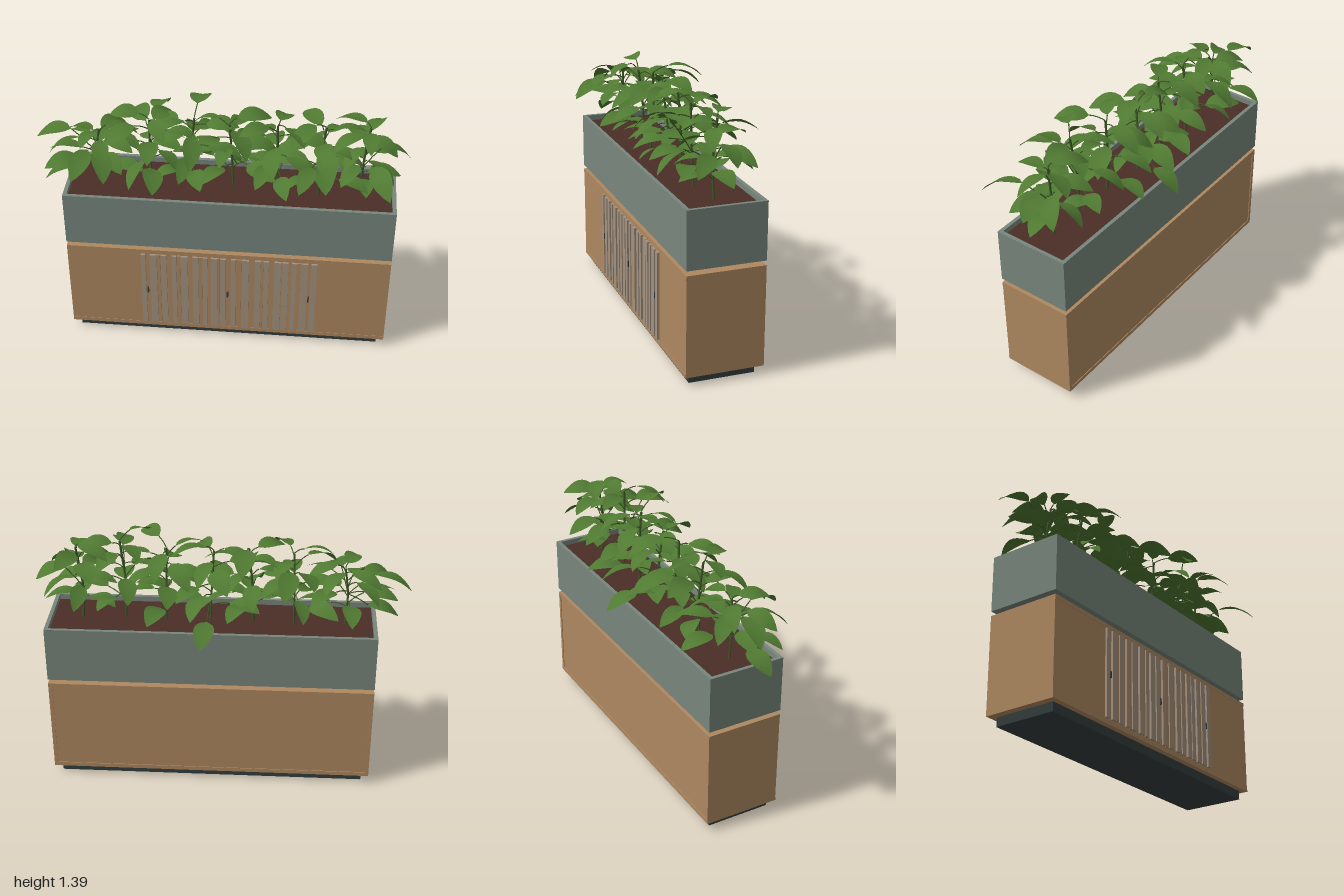
import * as THREE from 'three';
import { mergeGeometries } from 'three/addons/utils/BufferGeometryUtils.js';

const mat = (name, color, side = THREE.FrontSide) => {
  const m = new THREE.MeshStandardMaterial({ color, side });
  m.name = name;
  return m;
};

// Small seeded generator for the foliage
function seeded(seed) {
  return () => {
    seed = (seed * 16807) % 2147483647;
    return seed / 2147483647;
  };
}

// Unit leaf along +z: pointed oval, arched along its length and folded at the midrib
function leafGeometry() {
  const rows = 8, pos = [], index = [];
  for (let i = 0; i <= rows; i++) {
    const t = i / rows;
    const w = 0.5 * Math.pow(Math.sin(Math.PI * Math.pow(t, 0.8)), 0.8) || 0;
    const y = 0.13 * Math.sin(Math.PI * t);
    pos.push(-w, y + w * 0.07, t, 0, y, t, w, y + w * 0.07, t);
  }
  for (let i = 0; i < rows; i++) {
    for (let j = 0; j < 2; j++) {
      const a = i * 3 + j, b = a + 1, c = a + 3, d = a + 4;
      index.push(a, c, b, b, c, d);
    }
  }
  const g = new THREE.BufferGeometry();
  g.setAttribute('position', new THREE.Float32BufferAttribute(pos, 3));
  g.setIndex(index);
  g.computeVertexNormals();
  return g;
}

// Place the unit leaf between two points, rolled about its midrib
function placeLeaf(unit, base, tip, width, roll) {
  const dir = tip.clone().sub(base);
  const length = dir.length();
  dir.normalize();
  const side = new THREE.Vector3(0, 1, 0).cross(dir).normalize();
  side.applyAxisAngle(dir, roll);
  const up = dir.clone().cross(side);
  const m = new THREE.Matrix4().makeBasis(
    side.multiplyScalar(width), up.multiplyScalar(length), dir.multiplyScalar(length));
  return unit.clone().applyMatrix4(m.setPosition(base));
}

export function createModel() {
  const group = new THREE.Group();
  const wood = mat('wood', 0xae8860);
  const slatGrey = mat('greySlat', 0xa39280);
  const green = mat('leafGreen', 0x507a32, THREE.DoubleSide);
  const stemGreen = mat('stemGreen', 0x3f5a2a);
  const metal = mat('greyGreenMetal', 0x78867d);
  const dark = mat('darkBase', 0x343d3d);
  const earth = mat('soil', 0x4a2e25);

  const add = (name, geometry, material, parent = group) => {
    const mesh = new THREE.Mesh(geometry, material);
    mesh.name = name;
    parent.add(mesh);
    return mesh;
  };
  // Box given by its low and high corners
  const box = (name, x0, x1, y0, y1, z0, z1, material, parent) =>
    add(name, new THREE.BoxGeometry(x1 - x0, y1 - y0, z1 - z0), material, parent)
      .position.set((x0 + x1) / 2, (y0 + y1) / 2, (z0 + z1) / 2);

  // Cabinet
  const X0 = -0.83, X1 = 0.93, Z0 = -0.22, Z1 = 0.2;
  box('plinth', -0.79, 0.89, 0, 0.05, -0.185, 0.168, dark);
  box('cabinetBottom', X0, X1, 0.05, 0.073, Z0, Z1, wood);
  box('cabinetTop', X0, X1, 0.573, 0.595, Z0, Z1, wood);
  box('cabinetCore', X0 + 0.02, X1 - 0.02, 0.073, 0.573, Z0 + 0.004, Z1 - 0.002, wood);
  box('cabinetRightSide', X0, X0 + 0.02, 0.073, 0.573, Z0, Z1 - 0.002, wood);
  box('cabinetLeftSide', X1 - 0.02, X1, 0.073, 0.573, Z0, Z1 - 0.002, wood);

  // Slatted front: grey slats of uneven width with wooden ones between some of them
  const slats = new THREE.Group();
  slats.name = 'slats';
  group.add(slats);
  const starts = [-0.425, -0.375, -0.315, -0.255, -0.205, -0.14, -0.085, -0.04,
    0.01, 0.07, 0.13, 0.2, 0.25, 0.305, 0.35, 0.4, 0.45, 0.505];
  starts.forEach((x, i) => {
    const w = [0.026, 0.038, 0.032][i % 3];
    box('greySlat', x, x + w, 0.08, 0.567, Z1 - 0.004, 0.21, slatGrey, slats);
    const next = starts[i + 1];
    if (next && i % 2) box('woodSlat', x + w + 0.003, next - 0.004, 0.08, 0.567, Z1 - 0.004, 0.206, wood, slats);
  });
  for (const x of [-0.39, 0.052, 0.497]) box('doorPull', x - 0.004, x + 0.004, 0.3, 0.335, Z1, 0.211, dark);

  // Trough feet
  for (const x of [-0.665, 0.767]) {
    for (const z of [0.122, -0.142]) {
      add('troughFoot', new THREE.CylinderGeometry(0.015, 0.019, 0.03, 16), dark).position.set(x, 0.608, z);
    }
  }

  // Open trough with soil
  const cx = (X0 + X1) / 2, cz = (Z0 + Z1) / 2, W = X1 - X0, D = Z1 - Z0;
  const rect = (P, w, d) => new P([
    new THREE.Vector2(-w / 2, -d / 2), new THREE.Vector2(w / 2, -d / 2),
    new THREE.Vector2(w / 2, d / 2), new THREE.Vector2(-w / 2, d / 2)]);
  const rim = rect(THREE.Shape, W, D);
  rim.holes.push(rect(THREE.Path, W - 0.04, D - 0.04));
  const walls = new THREE.ExtrudeGeometry(rim, { depth: 0.31, bevelEnabled: false });
  walls.rotateX(-Math.PI / 2);
  add('troughWalls', walls, metal).position.set(cx, 0.62, cz);
  box('troughFloor', X0 + 0.02, X1 - 0.02, 0.622, 0.64, Z0 + 0.02, Z1 - 0.02, metal);
  box('soil', X0 + 0.02, X1 - 0.02, 0.64, 0.9, Z0 + 0.02, Z1 - 0.02, earth);

  // Plants: x, z, height of the stem tip, spread of the leaf stalks
  const unit = leafGeometry();
  const V = (x, y, z) => new THREE.Vector3(x, y, z);
  const rand = seeded(4711);
  const vary = (a, b) => a + (b - a) * rand();
  const plants = [
    [-0.66, -0.01, 1.23, 0.9], [-0.39, -0.02, 1.31, 1], [-0.17, 0.0, 1.33, 1],
    [0.06, -0.02, 1.31, 1], [0.3, 0.0, 1.32, 1], [0.52, 0.01, 1.34, 1], [0.75, -0.01, 1.32, 0.4]];
  // Outermost drooping leaves: plant number, tip x, y, z
  const outer = [[0, -1, 1.13, -0.05], [0, -0.95, 0.925, 0.05], [6, 0.99, 1.13, -0.03],
    [6, 0.88, 1.1, 0.33], [5, 0.58, 1.19, 0.34], [3, 0.1, 0.88, -0.31], [1, -0.33, 1.2, -0.35],
    [0, -0.58, 1.1, 0.31]];

  plants.forEach(([px, pz, top, spread], n) => {
    const plant = new THREE.Group();
    plant.name = 'plant';
    group.add(plant);
    const stem = new THREE.CatmullRomCurve3([
      V(px, 0.89, pz), V(px + vary(-0.01, 0.01), 1.08, pz + vary(-0.02, 0.02)),
      V(px + vary(-0.03, 0.03), top, pz + vary(-0.03, 0.03))]);
    const stalks = [new THREE.TubeGeometry(stem, 10, 0.006, 6)];
    const leaves = [];
    const grow = (root, base, tip, width) => {
      const mid = root.clone().lerp(base, 0.5).add(V(0, 0.012, 0));
      stalks.push(new THREE.TubeGeometry(new THREE.QuadraticBezierCurve3(root, mid, base), 4, 0.003, 5));
      leaves.push(placeLeaf(unit, base, tip, width, vary(-0.4, 0.4)));
    };

    const count = 15;
    for (let k = 0; k < count; k++) {
      const f = k / (count - 1);
      const a = k * 2.4 + n * 1.3 + vary(-0.3, 0.3);
      const root = stem.getPoint(0.3 + 0.7 * f);
      const reach = spread * vary(0.05, 0.14) * (1 - 0.4 * f);
      const length = vary(0.15, 0.2);
      const out = V(Math.cos(a), 0, Math.sin(a));
      const base = root.clone().addScaledVector(out, reach).add(V(0, vary(0.01, 0.05), 0));
      const tip = base.clone().addScaledVector(out, length);
      tip.y -= length * vary(0.05, 0.5) * (f > 0.2 ? 1 : 0.5);
      grow(root, base, tip, length * vary(0.5, 0.62));
    }
    for (const [p, x, y, z] of outer) {
      if (p !== n) continue;
      const root = stem.getPoint(0.5);
      const tip = V(x, y, z);
      const base = root.clone().lerp(tip, 0.4);
      base.y = y + 0.08;
      grow(root, base, tip, 0.11);
    }
    add('stems', mergeGeometries(stalks), stemGreen, plant);
    add('leaves', mergeGeometries(leaves), green, plant);
  });
  return group;
}
